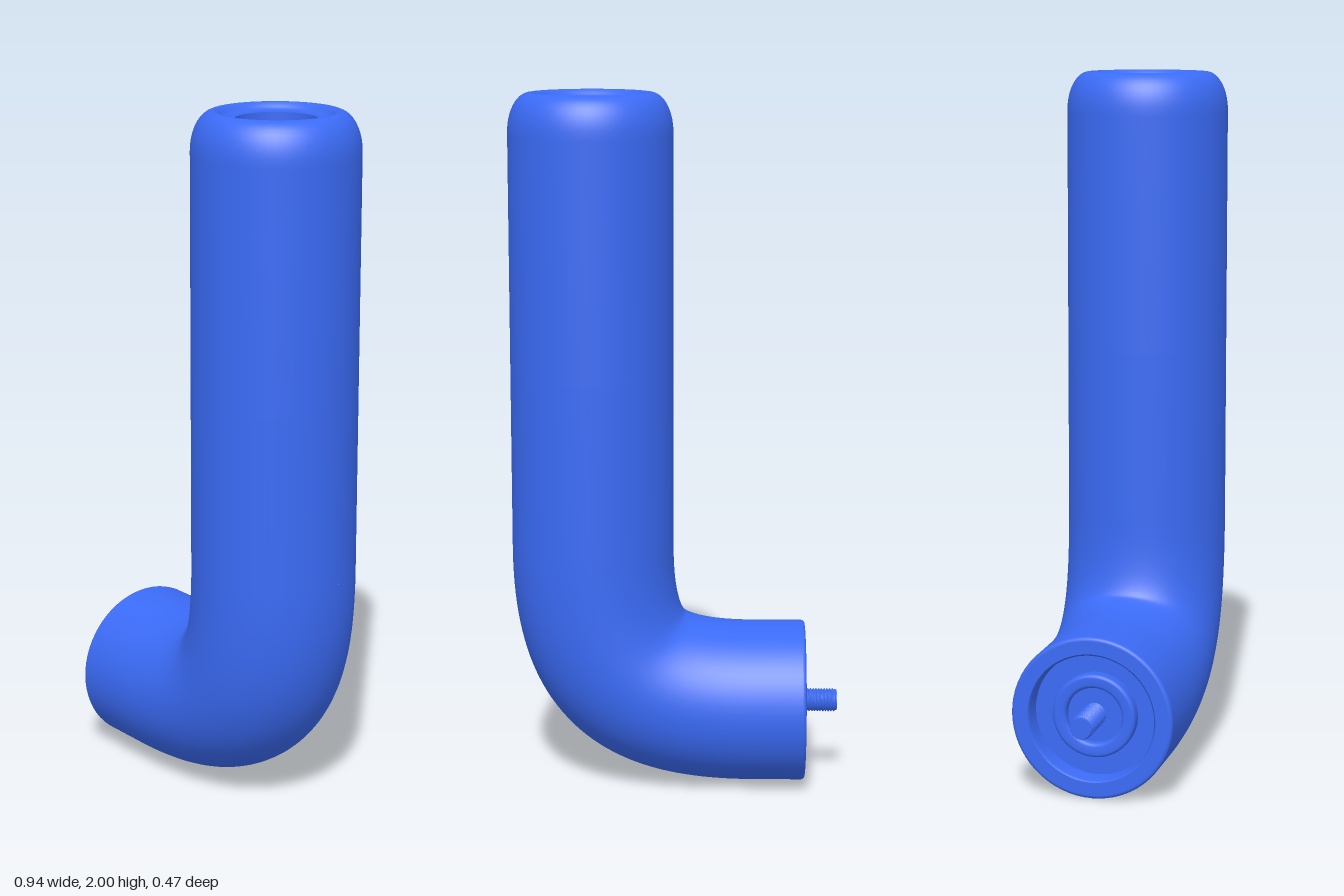
import * as THREE from 'three';
import { mergeGeometries } from 'three/addons/utils/BufferGeometryUtils.js';

const R = 0.233, AX = 0.238, AY = 0.234; // tube radius, upright axis x, base axis y
const BEND = 0.47, PULL = 0.76; // bend leg length and share of it used by the handles

const material = new THREE.MeshStandardMaterial({ color: 0x3b6bf6 });

function part(name, geometry) {
  const mesh = new THREE.Mesh(geometry, material);
  mesh.name = name;
  return mesh;
}

// Each profile is one smooth run; edges between runs stay sharp.
function lathe(runs) {
  return mergeGeometries(runs.map((run) =>
    new THREE.LatheGeometry(run.map(([r, h]) => new THREE.Vector2(r, h)), 64)));
}

// Quarter ellipse from the side (r0 + a, h0) over to the top (r0, h0 + b)
function round(r0, h0, a, b, n = 10) {
  return Array.from({ length: n + 1 }, (_, i) => {
    const t = (i / n) * Math.PI / 2;
    return [r0 + a * Math.cos(t), h0 + b * Math.sin(t)];
  });
}

// Circular section swept along a bend lying in the xy plane
function sweepBend(steps = 48, sides = 64) {
  const rest = BEND * (1 - PULL);
  const curve = new THREE.CubicBezierCurve(
    new THREE.Vector2(AX - BEND, AY), new THREE.Vector2(AX - rest, AY),
    new THREE.Vector2(AX, AY + rest), new THREE.Vector2(AX, AY + BEND));
  const pos = [], normals = [], index = [];
  for (let i = 0; i <= steps; i++) {
    const p = curve.getPoint(i / steps), t = curve.getTangent(i / steps);
    for (let j = 0; j <= sides; j++) {
      const a = (j / sides) * Math.PI * 2;
      const nx = t.y * Math.cos(a), ny = -t.x * Math.cos(a), nz = -Math.sin(a);
      pos.push(p.x + R * nx, p.y + R * ny, R * nz);
      normals.push(nx, ny, nz);
      if (i < steps && j < sides) {
        const k = i * (sides + 1) + j, m = k + sides + 1;
        index.push(k, k + 1, m, m, k + 1, m + 1);
      }
    }
  }
  const g = new THREE.BufferGeometry();
  g.setAttribute('position', new THREE.Float32BufferAttribute(pos, 3));
  g.setAttribute('normal', new THREE.Float32BufferAttribute(normals, 3));
  g.setIndex(index);
  return g;
}

// Cylinder whose radius follows a helical thread
function threadedRod(length, radius, depth, pitch) {
  const g = new THREE.CylinderGeometry(radius, radius, length, 24, 140);
  const p = g.attributes.position;
  for (let i = 0; i < p.count; i++) {
    const x = p.getX(i), y = p.getY(i), z = p.getZ(i);
    if (Math.hypot(x, z) < 1e-6) continue;
    const phase = y / pitch - Math.atan2(z, x) / (Math.PI * 2);
    const wave = 0.5 + 0.5 * Math.cos(phase * Math.PI * 2);
    const end = THREE.MathUtils.clamp((length / 2 - Math.abs(y)) / 0.008, 0, 1);
    const s = (radius - depth * (1 - wave * end)) / radius;
    p.setXYZ(i, x * s, y, z * s);
  }
  g.computeVertexNormals();
  return g;
}

export function createModel() {
  const model = new THREE.Group();
  model.name = 'angledHook';

  model.add(part('bend', sweepBend()));

  // Upright arm: rounded top, shallow dish and stepped bore
  const upright = part('upright', lathe([
    [[R, AY + BEND], [R, 1.2], [R, 1.88], ...round(0.17, 1.89, R - 0.17, 0.11)],
    [[0.17, 2], [0.16, 1.998], [0.153, 1.988], [0.145, 1.981], [0.135, 1.979], [0.112, 1.979]],
    [[0.112, 1.979], [0.112, 1.45]],
    [[0.112, 1.45], [0.095, 1.44], [0.085, 1.42], [0.075, 1.41], [0.065, 1.4],
      [0.055, 1.37], [0.04, 1.35], [0.02, 1.34], [0, 1.338]],
  ]));
  upright.position.x = AX;
  model.add(upright);

  // Two flats on the bore wall
  const half = Math.acos(0.095 / 0.112);
  for (const side of [1, -1]) {
    const chord = new THREE.Shape();
    const mid = side * Math.PI / 2;
    chord.absarc(0, 0, 0.112, mid - half, mid + half, false);
    const g = new THREE.ExtrudeGeometry(chord, { depth: 0.3, bevelEnabled: false, curveSegments: 10 });
    g.rotateX(-Math.PI / 2);
    const flat = part('boreFlat', g);
    flat.position.set(AX, 1.45, 0);
    model.add(flat);
  }

  // Base arm: rimmed open end, recess and raised ring around the stud
  const base = part('base', lathe([
    [[R, BEND - AX], [R, 0.3], [R, 0.368], ...round(R - 0.01, 0.368, 0.01, 0.01, 5)],
    [[R - 0.01, 0.378], [0.185, 0.378]],
    [[0.185, 0.378], [0.18, 0.372], [0.178, 0.32]],
    [[0.178, 0.32], [0.12, 0.32]],
    [[0.12, 0.32], [0.12, 0.345], ...round(0.11, 0.345, 0.01, 0.01, 4), [0.09, 0.355],
      [0.083, 0.352], [0.08, 0.345], [0.08, 0.33]],
    [[0.08, 0.33], [0, 0.33]],
  ]));
  base.rotation.z = Math.PI / 2;
  base.position.y = AY;
  model.add(base);

  // Mounting stud
  const stud = part('threadedStud', threadedRod(0.153, 0.034, 0.004, 0.008));
  stud.rotation.z = Math.PI / 2;
  stud.position.set(-0.3965, AY, -0.003);
  model.add(stud);

  return model;
}
